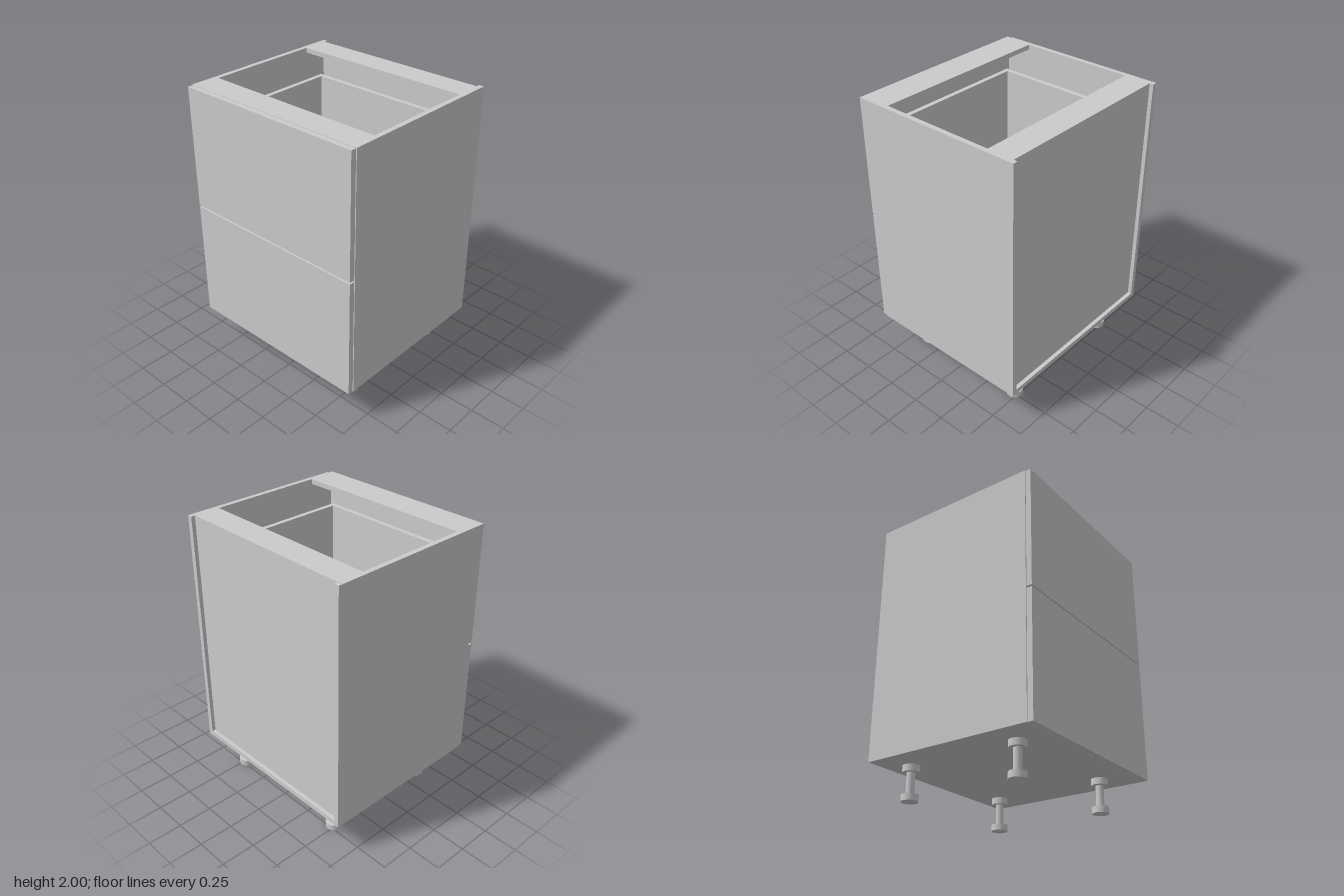
import * as THREE from 'three';

const T = 0.035; // board thickness

export function createModel() {
  const model = new THREE.Group();
  model.name = 'drawerCabinet';
  const mat = new THREE.MeshStandardMaterial({ color: 0xcccccc });

  // Box given by its limits on each axis
  const board = (parent, name, [x0, x1], [y0, y1], [z0, z1]) => {
    const mesh = new THREE.Mesh(new THREE.BoxGeometry(x1 - x0, y1 - y0, z1 - z0), mat);
    mesh.position.set((x0 + x1) / 2, (y0 + y1) / 2, (z0 + z1) / 2);
    mesh.name = name;
    parent.add(mesh);
    return mesh;
  };
  const cylinder = (parent, name, r, h, x, y, z, sides = 32) => {
    const mesh = new THREE.Mesh(new THREE.CylinderGeometry(r, r, h, sides), mat);
    mesh.position.set(x, y, z);
    mesh.name = name;
    parent.add(mesh);
    return mesh;
  };

  // Carcass: sides, bottom, two top rails and a recessed back
  const W = 0.705, inner = W - T, bottom = 0.24, back = -0.64, front = 0.6;
  const carcass = new THREE.Group();
  carcass.name = 'carcass';
  model.add(carcass);
  board(carcass, 'rightSide', [-W, -inner], [bottom, 2], [back, front]);
  board(carcass, 'leftSide', [inner, W], [bottom, 2], [back, front]);
  board(carcass, 'bottomPanel', [-inner, inner], [bottom, bottom + T], [back, front]);
  board(carcass, 'frontRail', [-inner, inner], [2 - T, 2], [0.41, front]);
  board(carcass, 'backRail', [-inner, inner], [2 - T, 2], [-0.6, -0.42]);
  board(carcass, 'backPanel', [-inner, inner], [bottom + T, 2], [-0.612, -0.6]);

  // Drawers: an open box behind each front panel
  const drawers = [
    { name: 'lowerDrawer', face: [bottom, 1.112], box: [0.32, 0.9] },
    { name: 'upperDrawer', face: [1.124, 1.997], box: [1.2, 1.775] },
  ];
  for (const { name, face, box } of drawers) {
    const drawer = new THREE.Group();
    drawer.name = name;
    model.add(drawer);
    const out = 0.645, inn = 0.61, zb = -0.545, zf = 0.598;
    board(drawer, 'drawerFront', [-0.7, 0.7], face, [front + 0.001, 0.64]);
    board(drawer, 'drawerRightSide', [-out, -inn], box, [zb, zf]);
    board(drawer, 'drawerLeftSide', [inn, out], box, [zb, zf]);
    board(drawer, 'drawerBack', [-inn, inn], box, [zb, zb + T]);
    board(drawer, 'drawerInnerFront', [-inn, inn], box, [zf - T, zf]);
    board(drawer, 'drawerBottom', [-inn, inn], [box[0], box[0] + 0.02], [zb + T, zf - T]);
  }

  for (const sx of [-1, 1]) {
    // Small oval fixing plugs in the top edge and near the foot of each side
    const top = cylinder(carcass, 'topPlug', 0.005, 0.02, sx * 0.69, 1.991, -0.61, 16);
    top.scale.z = 1.8;
    const side = cylinder(carcass, 'sidePlug', 0.007, 0.02, sx * (W - 0.009), 0.27, -0.61, 16);
    side.rotation.z = Math.PI / 2;
    side.scale.x = 1.8;

    // Adjustable legs
    for (const z of [0.38, -0.467]) {
      const leg = new THREE.Group();
      leg.name = 'leg';
      leg.position.set(sx * 0.485, 0, z);
      model.add(leg);
      cylinder(leg, 'foot', 0.058, 0.046, 0, 0.023, 0);
      cylinder(leg, 'stem', 0.028, 0.15, 0, 0.12, 0);
      cylinder(leg, 'mountingCap', 0.058, 0.046, 0, 0.217, 0);
    }
  }
  return model;
}
